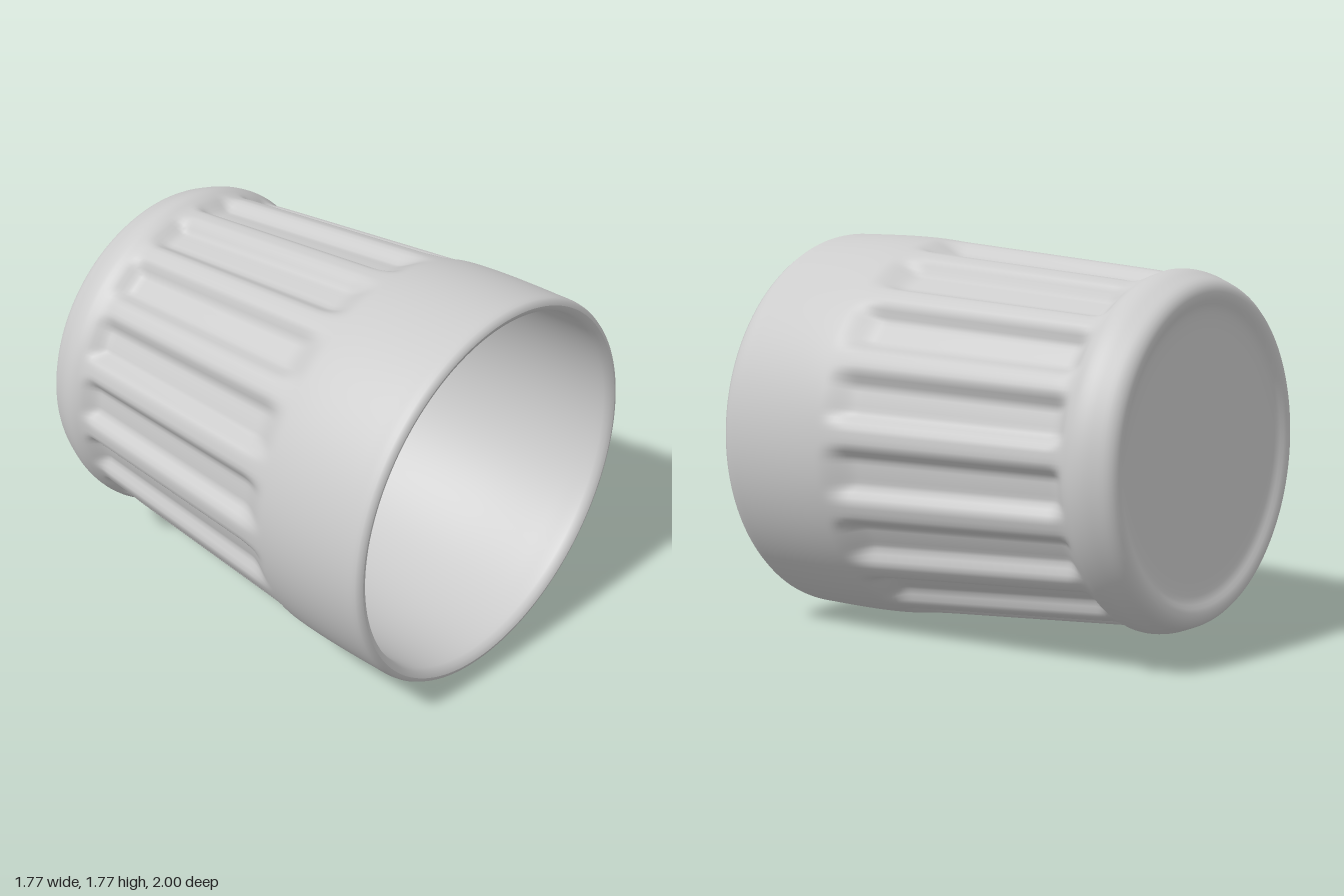
import * as THREE from 'three';
import { mergeVertices } from 'three/addons/utils/BufferGeometryUtils.js';

const RADIUS = 0.887;
const FLUTES = 16;
const FLUTE_DEPTH = 0.055;
const CREST_ANGLE = THREE.MathUtils.degToRad(4.5);

// Turns a [radius, z] profile about the z axis, optionally reshaping each vertex.
function turned(points, steps, reshape) {
  const curve = new THREE.CatmullRomCurve3(points.map(([r, z]) => new THREE.Vector3(r, z, 0)));
  const profile = curve.getSpacedPoints(steps).map(p => new THREE.Vector2(Math.max(p.x, 0), p.y));
  let geometry = new THREE.LatheGeometry(profile, 256);
  geometry.rotateX(Math.PI / 2);
  if (reshape) {
    const pos = geometry.attributes.position;
    for (let i = 0; i < pos.count; i++) {
      const k = reshape(pos.getX(i), pos.getY(i), pos.getZ(i));
      pos.setXY(i, pos.getX(i) * k, pos.getY(i) * k);
    }
  }
  // Weld the seam so the normals run smoothly all the way round.
  geometry.deleteAttribute('uv');
  geometry.deleteAttribute('normal');
  geometry = mergeVertices(geometry, 1e-5);
  geometry.computeVertexNormals();
  return geometry;
}

// Scale factor that presses the flutes into the tapered part of the wall.
function flute(x, y, z) {
  const r = Math.hypot(x, y);
  if (r < 0.74) return 1;
  const ends = THREE.MathUtils.smoothstep(z, -0.79, -0.69)
    * (1 - THREE.MathUtils.smoothstep(z, 0.28, 0.46));
  const wave = Math.cos(FLUTES * (Math.atan2(y, x) - CREST_ANGLE));
  const groove = 1 - THREE.MathUtils.smoothstep(wave, -0.5, 0.9);
  return 1 - FLUTE_DEPTH * ends * groove / r;
}

export function createModel() {
  const group = new THREE.Group();
  const material = new THREE.MeshStandardMaterial({ color: 0xcccccc });

  const add = (name, geometry) => {
    const mesh = new THREE.Mesh(geometry, material);
    mesh.name = name;
    mesh.position.y = RADIUS;
    group.add(mesh);
  };

  // Sunken base, rounded foot ring, fluted taper, plain collar and lip
  add('outerWall', turned([
    [0, -0.97], [0.3, -0.97], [0.58, -0.97], [0.63, -0.978], [0.665, -0.995],
    [0.7, -1], [0.735, -0.98], [0.765, -0.92], [0.782, -0.87], [0.785, -0.82],
    [0.775, -0.79], [0.768, -0.75], [0.775, -0.68], [0.825, -0.1], [0.866, 0.38],
    [0.88, 0.53], [0.886, 0.68], [0.887, 0.9], [0.885, 0.975], [0.876, 0.994], [0.858, 1],
  ], 150, flute));

  // Hollow inside with a rounded floor
  add('innerWall', turned([
    [0.858, 1], [0.838, 0.994], [0.827, 0.97], [0.825, 0.85], [0.815, 0.5], [0.765, 0],
    [0.705, -0.55], [0.68, -0.7], [0.635, -0.79], [0.56, -0.83], [0.3, -0.84], [0, -0.84],
  ], 90));

  return group;
}
